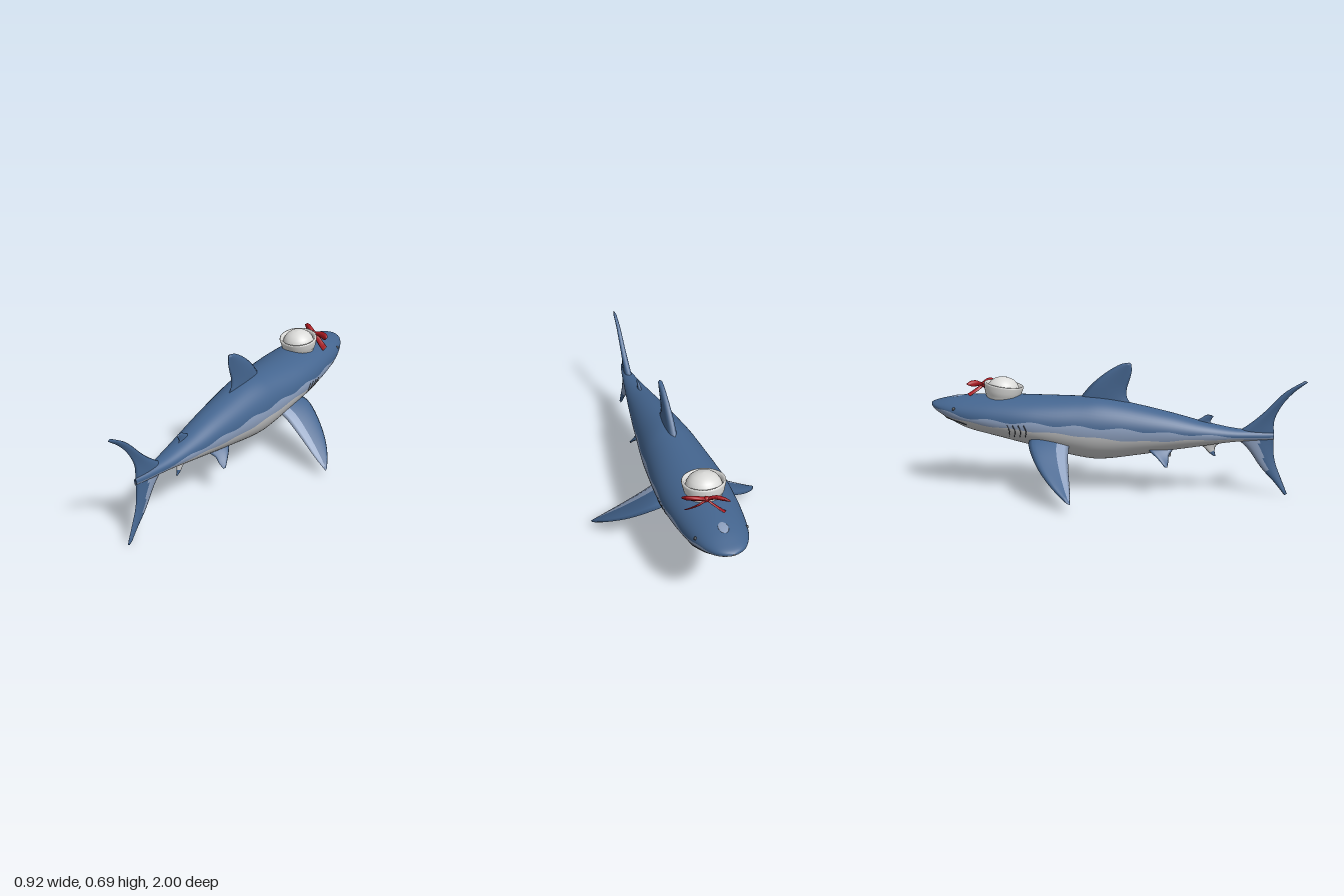
import * as THREE from 'three';

const V = (p) => new THREE.Vector3(...p);
const mat = (name, color) => {
  const m = new THREE.MeshStandardMaterial({ color, side: THREE.DoubleSide });
  m.name = name;
  return m;
};

// Body stations: z, top, bottom, half width, height of widest line, end of blue, start of white
const STATIONS = [
  [-1, .453, .446, .004, .449, .449, .447],
  [-.985, .462, .428, .045, .447, .445, .436],
  [-.95, .472, .402, .083, .44, .437, .425],
  [-.88, .487, .365, .12, .425, .423, .4],
  [-.78, .498, .318, .147, .405, .405, .38],
  [-.61, .505, .278, .17, .385, .392, .36],
  [-.42, .505, .233, .177, .37, .385, .345],
  [-.18, .505, .18, .16, .35, .372, .325],
  [-.05, .5, .172, .148, .34, .365, .31],
  [.14, .465, .2, .124, .335, .352, .295],
  [.3, .43, .228, .102, .33, .338, .298],
  [.46, .39, .255, .077, .325, .33, .303],
  [.62, .358, .282, .05, .32, .318, .303],
  [.76, .345, .294, .026, .318, .312, .302],
  [.84, .335, .302, .008, .318, .314, .306],
];
const COLUMNS = [1, 2, 3, 4, 5, 6].map((k) =>
  new THREE.SplineCurve(STATIONS.map((s) => new THREE.Vector2(s[0], s[k]))));

// Body section values at a given z
function sectionAt(z) {
  let lo = 0, hi = 1;
  for (let i = 0; i < 30; i++) {
    const mid = (lo + hi) / 2;
    if (COLUMNS[0].getPoint(mid).x < z) lo = mid; else hi = mid;
  }
  const [top, bottom, w, c, blue, white] = COLUMNS.map((k) => k.getPoint(lo).y);
  return { top, bottom, w, c, blue, white };
}

// Point on the body's skin at height y
function onSkin(z, y, side) {
  const s = sectionAt(z);
  const k = (y - s.c) / (y > s.c ? s.top - s.c : s.c - s.bottom);
  return V([side * s.w * Math.sqrt(Math.max(0, 1 - k * k)), y, z]);
}

// Skin a list of closed rings; colourOf(i, j) picks the material index of each quad
function loft(rings, materials, colourOf) {
  const n = rings[0].length;
  const lists = materials.map(() => []);
  for (let i = 0; i < rings.length - 1; i++) {
    for (let j = 0; j < n; j++) {
      const a = i * n + j, c = i * n + (j + 1) % n;
      lists[colourOf(i, j)].push(a, a + n, c, a + n, c + n, c);
    }
  }
  const geo = new THREE.BufferGeometry().setFromPoints(rings.flat());
  geo.setIndex(lists.flat());
  let start = 0;
  lists.forEach((l, m) => { geo.addGroup(start, l.length, m); start += l.length; });
  geo.computeVertexNormals();
  return new THREE.Mesh(geo, materials);
}

// Lens-section blade between a leading and a trailing edge, both from root to tip
function fin(name, lead, trail, thick, materials, colourOf = () => 0) {
  const SPAN = 18, K = 10;
  const a = new THREE.CatmullRomCurve3(lead.map(V)), b = new THREE.CatmullRomCurve3(trail.map(V));
  const span = a.getPoint(1).add(b.getPoint(1)).sub(a.getPoint(0)).sub(b.getPoint(0));
  const normal = span.cross(b.getPoint(0).sub(a.getPoint(0))).normalize();
  const rings = [];
  for (let i = 0; i <= SPAN; i++) {
    const s = i / SPAN, p = a.getPoint(s), q = b.getPoint(s), ring = [];
    const t = thick * (1 - .6 * s) * (i === SPAN ? .05 : 1);
    for (let j = 0; j < 2 * K; j++) {
      const u = (j <= K ? j : 2 * K - j) / K;
      const off = t * 2.6 * Math.sqrt(u) * (1 - u) * (j <= K ? 1 : -1);
      ring.push(p.clone().lerp(q, u).addScaledVector(normal, off));
    }
    rings.push(ring);
  }
  const mesh = loft(rings, materials, (i, j) => {
    const u = (j < K ? j + .5 : 2 * K - j - .5) / K;
    return colourOf(i / SPAN, u, (j < K) === (normal.y > 0));
  });
  mesh.name = name;
  return mesh;
}

function tube(name, points, radius, material, segments = 16) {
  const m = new THREE.Mesh(new THREE.TubeGeometry(new THREE.CatmullRomCurve3(points), segments, radius, 6), material);
  m.name = name;
  return m;
}

export function createModel() {
  const model = new THREE.Group();
  model.name = 'sailorShark';
  const blue = mat('backBlue', 0x44658f), pale = mat('paleBlue', 0x8c9fbe), white = mat('bellyGrey', 0xc6c7c8);
  const dark = mat('darkLine', 0x3c4148), hatWhite = mat('hatWhite', 0xdcdcda), red = mat('ribbonRed', 0xa81820);
  const skin = [blue, pale, white];

  // Body, with blue back, pale flank band and light belly
  const A = 12, B = 3, C = 12, HALF = A + B + C, rings = [];
  for (let i = 0; i <= 90; i++) {
    const f = i / 90, z = -1 + 1.84 * Math.pow(f, 1.35), s = sectionAt(z);
    const angle = (y) => Math.acos(THREE.MathUtils.clamp((y - s.c) / (y > s.c ? s.top - s.c : s.c - s.bottom), -.95, .95));
    const ripple = .007 * Math.sin(z * 27) * Math.min(1, s.w / .1);
    const t1 = angle(s.blue + ripple), t2 = Math.max(t1 + .05, angle(s.white - ripple * .6));
    const ring = [];
    for (let j = 0; j < 2 * HALF; j++) {
      const k = j <= HALF ? j : 2 * HALF - j;
      const t = k <= A ? t1 * k / A : k <= A + B ? t1 + (t2 - t1) * (k - A) / B : t2 + (Math.PI - t2) * (k - A - B) / C;
      const h = Math.cos(t) > 0 ? s.top - s.c : s.c - s.bottom;
      ring.push(V([s.w * Math.sin(t) * (j <= HALF ? 1 : -1), s.c + h * Math.cos(t), z]));
    }
    rings.push(ring);
  }
  const body = loft(rings, skin, (i, j) => {
    const k = j < HALF ? j : 2 * HALF - 1 - j;
    return k < A ? 0 : k < A + B ? 1 : 2;
  });
  body.name = 'body';
  model.add(body);

  // Fins on the centre line, given as [z, y]
  const flat = (pts) => pts.map(([z, y]) => [0, y, z]);
  model.add(
    fin('dorsalFin', flat([[-.21, .46], [-.13, .56], [-.075, .61], [-.02, .65], [.04, .682], [.08, .689]]),
      flat([[.11, .45], [.07, .5], [.068, .55], [.083, .6], [.094, .65], [.09, .685]]), .024, skin),
    fin('secondDorsalFin', flat([[.4, .375], [.46, .405], [.49, .423], [.515, .422]]),
      flat([[.56, .36], [.51, .385], [.515, .4], [.525, .415]]), .01, skin),
    fin('analFin', flat([[.44, .28], [.48, .245], [.51, .215], [.535, .2]]),
      flat([[.58, .285], [.54, .255], [.535, .23], [.54, .203]]), .01, skin, (s) => (s > .6 ? 0 : 2)),
    fin('upperTailLobe', flat([[.62, .318], [.7, .372], [.78, .44], [.885, .55], [.985, .614]]),
      flat([[.84, .31], [.838, .4], [.873, .48], [.93, .55], [1, .606]]), .02, skin),
    fin('lowerTailLobe', flat([[.62, .32], [.7, .255], [.78, .145], [.85, .07], [.905, .002]]),
      flat([[.84, .33], [.838, .26], [.85, .18], [.885, .09], [.918, .01]]), .02, skin,
      (s, u) => (s < .55 && u < .65 - .6 * s ? 1 : 0)),
  );

  // Paired fins, gills, eyes
  for (const side of [1, -1]) {
    const m = (pts) => pts.map(([x, y, z]) => [x * side, y, z]);
    model.add(
      fin('pectoralFin', m([[.1, .3, -.43], [.18, .275, -.425], [.3, .195, -.36], [.4, .115, -.265], [.455, .052, -.175]]),
        m([[.1, .285, -.22], [.18, .235, -.215], [.28, .165, -.195], [.38, .095, -.17], [.458, .045, -.155]]), .022, skin,
        (s, u, up) => (!up ? (s > .85 ? 1 : 2) : u > .72 && s < .9 ? 1 : 0)),
      fin('pelvicFin', m([[.04, .265, .16], [.08, .235, .2], [.105, .195, .25], [.115, .162, .28]]),
        m([[.03, .25, .33], [.065, .215, .3], [.09, .18, .298], [.113, .16, .295]]), .01, skin, (s, u, up) => (up ? 0 : 2)),
    );
    for (let g = 0; g < 4; g++) {
      const z = -.54 + g * .03;
      model.add(tube('gillSlit', [0, .5, 1].map((k) => onSkin(z + .012 * Math.sin(k * 3), .375 - .07 * k, side)), .0025, dark, 8));
    }
    const eye = new THREE.Mesh(new THREE.SphereGeometry(.009, 12, 8), dark);
    eye.name = 'eye';
    eye.position.copy(onSkin(-.84, .44, side * .98));
    model.add(eye);
  }

  // Mouth line under the snout
  const half = [[-.77, .36], [-.81, .372], [-.86, .38], [-.9, .388]];
  model.add(tube('mouth', [...half.map(([z, y]) => onSkin(z, y, 1)), V([0, sectionAt(-.925).bottom, -.925]),
    ...half.reverse().map(([z, y]) => onSkin(z, y, -1))], .004, dark, 40));

  // Pale spot on the snout
  const spot = new THREE.Mesh(new THREE.SphereGeometry(1, 16, 8), pale);
  spot.name = 'snoutSpot';
  spot.scale.set(.024, .004, .034);
  spot.position.set(0, sectionAt(-.86).top - .001, -.86);
  spot.rotation.x = -.12;
  model.add(spot);

  // Sailor hat: turned-up brim around a low dome
  const hat = new THREE.Group();
  hat.name = 'hat';
  const lathe = (name, pts) => {
    const part = new THREE.Mesh(new THREE.LatheGeometry(pts.map((p) => new THREE.Vector2(...p)), 40), hatWhite);
    part.name = name;
    hat.add(part);
  };
  lathe('hatBrim', [[.084, -.025], [.088, 0], [.096, .01], [.1, .03], [.106, .056], [.104, .064], [.097, .065], [.09, .055], [.085, .035]]);
  lathe('hatDome', [[.088, .035], [.082, .056], [.07, .075], [.05, .091], [.025, .1], [0, .103]]);
  hat.position.set(0, .497, -.605);
  hat.rotation.x = .16;
  model.add(hat);

  // Ribbon bow at the front of the hat
  const bow = new THREE.Group();
  bow.name = 'bow';
  const knot = new THREE.Mesh(new THREE.SphereGeometry(.015, 12, 8), red);
  knot.name = 'bowKnot';
  knot.position.set(.03, .55, -.72);
  const r = [red];
  bow.add(knot,
    fin('bowLoop', [[.03, .556, -.72], [.08, .572, -.715], [.12, .573, -.7], [.14, .56, -.685]],
      [[.03, .544, -.72], [.08, .54, -.705], [.12, .538, -.685], [.138, .55, -.68]], .014, r),
    fin('bowLoop', [[.03, .556, -.72], [-.01, .578, -.745], [-.04, .578, -.77], [-.062, .565, -.785]],
      [[.03, .544, -.72], [-.01, .548, -.735], [-.04, .548, -.755], [-.06, .558, -.775]], .014, r),
    fin('bowTail', [[.03, .55, -.725], [.07, .53, -.725], [.1, .51, -.715], [.132, .495, -.7]],
      [[.03, .54, -.715], [.06, .51, -.705], [.09, .49, -.69], [.118, .472, -.68]], .006, r),
    fin('bowTail', [[.03, .55, -.725], [.01, .535, -.75], [-.01, .52, -.77], [-.03, .508, -.79]],
      [[.03, .54, -.715], [-.005, .522, -.735], [-.03, .508, -.755], [-.05, .498, -.77]], .006, r));
  model.add(bow);
  return model;
}
